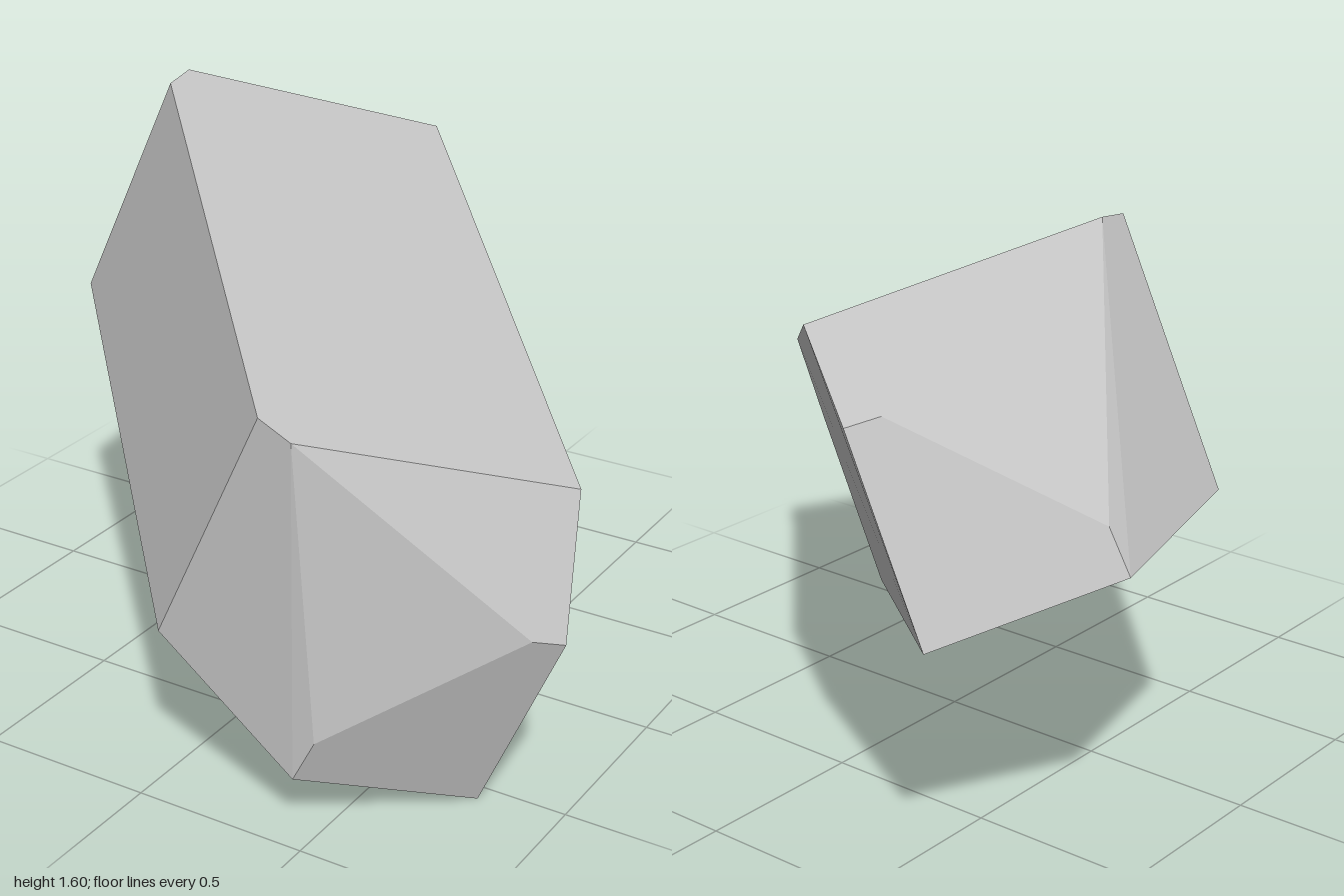
import * as THREE from 'three';

// Corners of one chipped end; the other end is its mirror along the block's axis.
const END = {
  a: [0.34, 1.14, 0.925], b: [0.44, 1.10, 0.933], c: [0.93, 0.86, 0.345],
  d: [1.0, 0.525, 0.54], e: [0.94, 0.55, 0.61], f: [0.77, 0.0, 0.555],
  g: [0.44, 0.16, 0.94], h: [0.50, 0.28, 0.932], i: [0.02, 0.46, 0.925],
};
const AXIS = new THREE.Vector3(0.658, -0.316, 0.683).normalize();
const MIDDLE = -0.216;
const CENTRE = new THREE.Vector3(0, 0.79, 0);

// Lower case letters are the near end, upper case the mirrored far end.
function corner(letter) {
  const p = new THREE.Vector3(...END[letter.toLowerCase()]);
  if (letter === letter.toLowerCase()) return p;
  return p.addScaledVector(AXIS, -2 * (p.dot(AXIS) - MIDDLE));
}

// Flat polygons, each wound outwards and given a single normal.
function facets(faces) {
  const position = [], normal = [];
  for (const face of faces) {
    const pts = [...face].map(corner);
    const n = new THREE.Vector3();
    pts.forEach((p, k) => n.add(p.clone().cross(pts[(k + 1) % pts.length])));
    n.normalize();
    if (n.dot(pts[0].clone().sub(CENTRE)) < 0) {
      pts.reverse();
      n.negate();
    }
    for (let k = 1; k < pts.length - 1; k++) {
      for (const p of [pts[0], pts[k], pts[k + 1]]) {
        position.push(p.x, p.y, p.z);
        normal.push(n.x, n.y, n.z);
      }
    }
  }
  const geometry = new THREE.BufferGeometry();
  geometry.setAttribute('position', new THREE.Float32BufferAttribute(position, 3));
  geometry.setAttribute('normal', new THREE.Float32BufferAttribute(normal, 3));
  return geometry;
}

export function createModel() {
  const group = new THREE.Group();
  group.name = 'stoneBlock';
  const stone = new THREE.MeshStandardMaterial({ color: 0xc4c4c4 });
  stone.name = 'stone grey';

  const add = (name, faces) => {
    const mesh = new THREE.Mesh(facets(faces), stone);
    mesh.name = name;
    group.add(mesh);
  };

  // Long sides: top, front left, lower left, underside, right
  add('longSides', ['abcCBA', 'aAIi', 'iIGg', 'gGFf', 'fdcCDF']);

  // Chipped ends
  const end = ['abgi', 'bhg', 'beh', 'bcde', 'hedfg'];
  add('frontEnd', end);
  add('backEnd', end.map((face) => face.toUpperCase()));
  return group;
}
